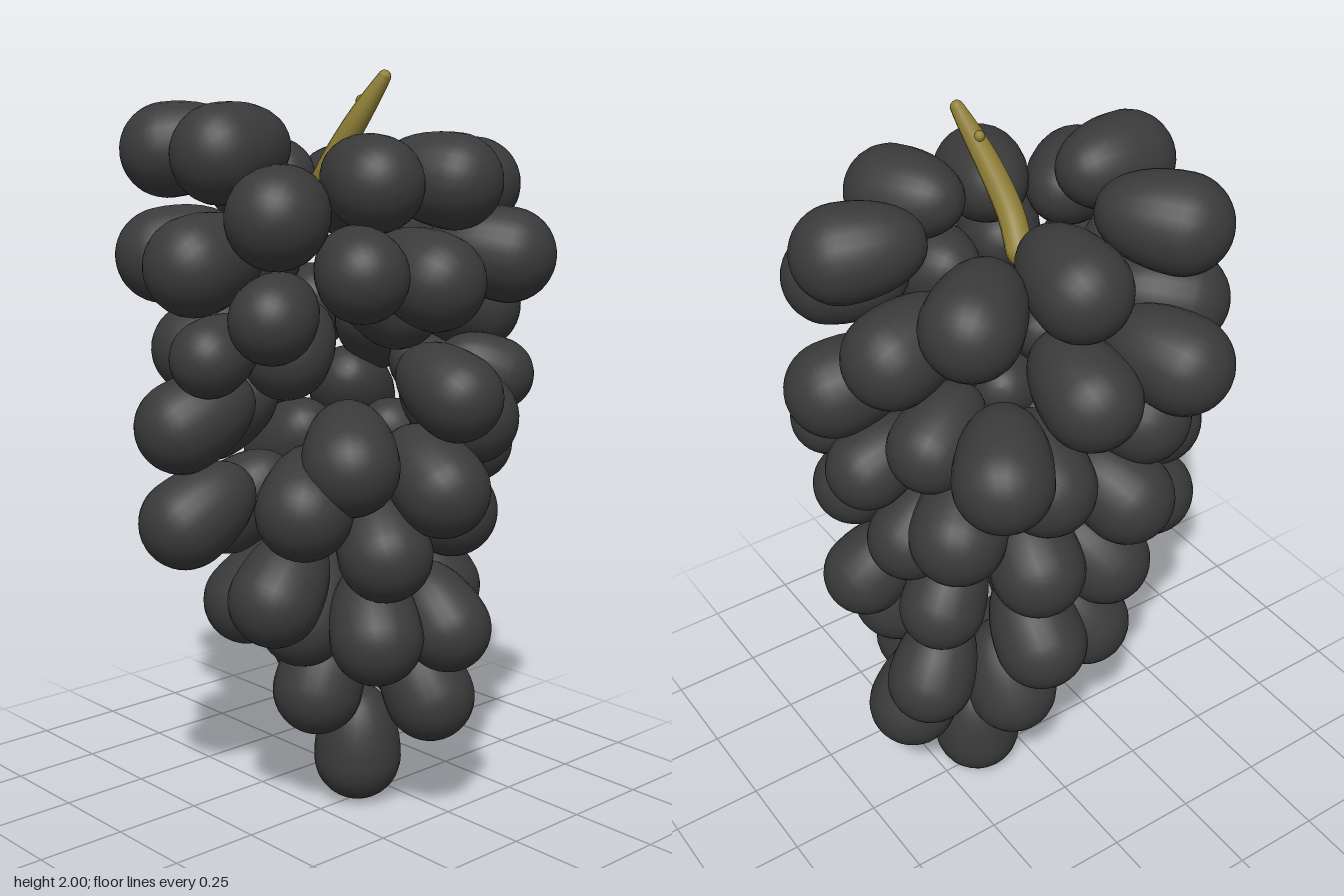
import * as THREE from 'three';

export function createModel() {
  const model = new THREE.Group();
  const skin = new THREE.MeshStandardMaterial({ color: 0x3a3a3a });
  skin.name = 'dark grape skin';
  const wood = new THREE.MeshStandardMaterial({ color: 0x8f7f35 });
  wood.name = 'olive stem';

  // Grape: plump egg with its round tip at -y (centred on the origin) and a longer end at +y
  const profile = [];
  const R = 0.122, length = 0.21;
  for (let i = 0; i <= 20; i++) {
    const a = (i / 20 - 0.5) * Math.PI;
    const x = i % 20 ? R * Math.cos(a) ** (a > 0 ? 0.9 : 1) : 0;
    profile.push(new THREE.Vector2(x, Math.sin(a) * (a > 0 ? length : R)));
  }
  const egg = new THREE.LatheGeometry(profile, 24);

  // Tip centres by tier: x, y, z and optional size
  const tiers = {
    crown: [
      [-0.36, 1.80, 0.04], [-0.38, 1.66, 0.27], [-0.10, 1.73, 0.31, 0.96], [0.14, 1.73, 0.34, 0.98],
      [0.38, 1.71, 0.18], [0.28, 1.68, -0.23], [0.01, 1.71, -0.28], [-0.27, 1.80, -0.29],
    ],
    shoulder: [
      [0.32, 1.54, 0.36], [0.05, 1.49, 0.37], [-0.19, 1.52, 0.36, 0.92], [-0.46, 1.54, 0.06],
      [-0.42, 1.43, 0.30, 0.85], [-0.48, 1.33, 0.14, 0.78], [0.39, 1.55, -0.06],
      [-0.18, 1.52, -0.43], [-0.34, 1.54, -0.22], [0.04, 1.47, -0.37],
    ],
    upper: [
      [-0.23, 1.31, 0.13, 0.9], [0.45, 1.38, 0.13], [0.29, 1.34, -0.37], [0.33, 1.30, -0.12, 0.9],
      [-0.19, 1.28, -0.28], [0.20, 1.40, 0.08],
    ],
    middle: [
      [0.07, 1.21, 0.43, 0.92], [-0.36, 1.11, -0.13], [-0.18, 1.05, 0.31], [0.06, 0.97, 0.39],
      [0.25, 1.12, 0.31], [0.42, 1.18, 0.04, 0.87], [0.38, 1.02, 0.19, 0.9], [0.41, 1.21, 0.25, 0.8],
      [0.33, 1.10, -0.23], [0.35, 0.97, -0.03, 0.9], [0.14, 0.95, -0.30], [-0.12, 1.08, -0.32],
      [0.12, 1.21, -0.31],
    ],
    lower: [
      [-0.27, 0.94, 0.24], [-0.36, 0.86, -0.12], [-0.04, 0.80, 0.29], [0.22, 0.87, 0.27],
      [0.42, 0.80, 0.09, 0.92], [0.31, 0.77, -0.11, 0.92], [0.12, 0.68, -0.29],
      [-0.23, 0.67, 0.08], [-0.11, 0.83, -0.25],
    ],
    tail: [
      [-0.04, 0.57, 0.26], [0.16, 0.57, 0.32, 0.95], [0.30, 0.62, 0.14], [0.36, 0.54, -0.12, 0.95],
      [-0.08, 0.57, 0.02], [-0.09, 0.58, -0.20], [-0.02, 0.36, 0.01], [0.19, 0.35, 0.23],
      [0.35, 0.35, 0.00], [0.13, 0.42, -0.17], [0.14, 0.122, 0.00],
    ],
  };

  // The bunch's axis drifts sideways toward the tail; lower grapes hang more steeply
  const down = new THREE.Vector3(0, -1, 0);
  for (const [tier, tips] of Object.entries(tiers)) {
    const group = new THREE.Group();
    group.name = tier + 'Grapes';
    for (const [x, y, z, size = 1] of tips) {
      const t = THREE.MathUtils.clamp((1.7 - y) / 1.3, 0, 1);
      const root = new THREE.Vector3(0.14 * t, y + 0.05 + 0.36 * t, 0);
      const tip = new THREE.Vector3(x, y, z);
      const grape = new THREE.Mesh(egg, skin);
      grape.name = 'grape';
      grape.position.copy(tip);
      grape.quaternion.setFromUnitVectors(down, tip.clone().sub(root).normalize());
      grape.scale.setScalar(size);
      group.add(grape);
    }
    model.add(group);
  }

  // Curved stem, narrowing toward its upper end
  const path = new THREE.CatmullRomCurve3([
    new THREE.Vector3(-0.005, 1.68, -0.01),
    new THREE.Vector3(-0.02, 1.75, 0.05),
    new THREE.Vector3(-0.005, 1.86, 0.125),
    new THREE.Vector3(0.03, 1.982, 0.2),
  ]);
  const rings = 20, sides = 12;
  const tube = new THREE.TubeGeometry(path, rings, 0.034, sides);
  const point = new THREE.Vector3();
  for (let i = 0; i < tube.attributes.position.count; i++) {
    const u = Math.floor(i / (sides + 1)) / rings;
    const centre = path.getPointAt(u);
    point.fromBufferAttribute(tube.attributes.position, i).sub(centre);
    point.multiplyScalar(1 - 0.5 * u ** 3).add(centre);
    tube.attributes.position.setXYZ(i, point.x, point.y, point.z);
  }
  tube.computeVertexNormals();
  const stem = new THREE.Mesh(tube, wood);
  stem.name = 'stem';
  model.add(stem);

  // Rounded ends of the stem
  for (const [name, u, radius] of [['stemTip', 1, 0.017], ['stemBase', 0, 0.034]]) {
    const end = new THREE.Mesh(new THREE.SphereGeometry(radius, 12, 8), wood);
    end.name = name;
    end.position.copy(path.getPointAt(u));
    model.add(end);
  }

  // Small knot on the stem
  const knot = new THREE.Mesh(new THREE.SphereGeometry(0.014, 10, 8), wood);
  knot.name = 'stemKnot';
  knot.position.set(0.008, 1.925, 0.14);
  model.add(knot);

  return model;
}
